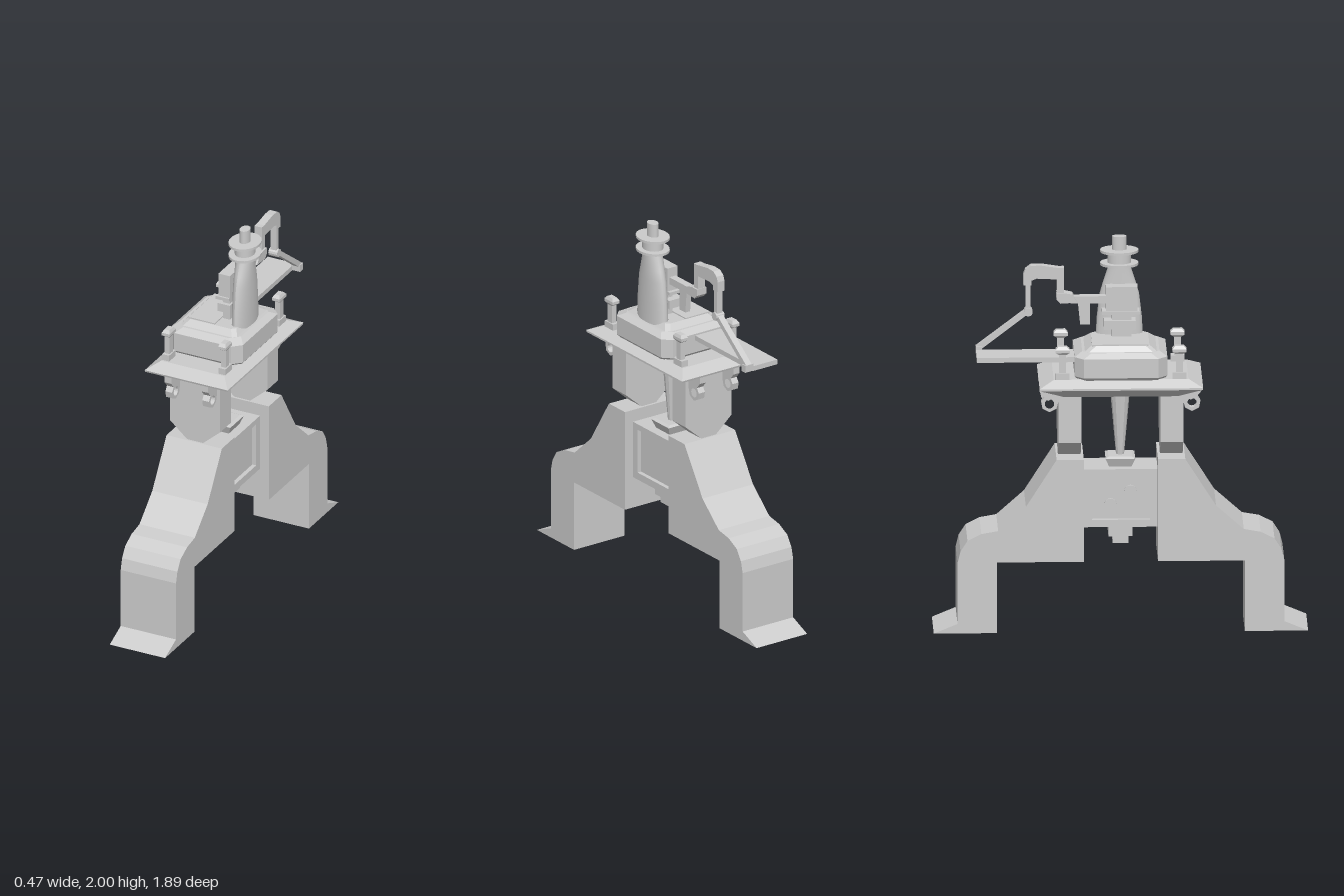
import * as THREE from 'three';

const flat = new THREE.MeshStandardMaterial({ color: 0xcccccc, flatShading: true });
const smooth = new THREE.MeshStandardMaterial({ color: 0xcccccc });

export function createModel() {
  const model = new THREE.Group();

  const add = (name, geo, x = 0, y = 0, z = 0, mat = flat) => {
    const m = new THREE.Mesh(geo, mat);
    m.name = name;
    m.position.set(x, y, z);
    model.add(m);
    return m;
  };
  // box given by its limits
  const box = (name, x0, x1, y0, y1, z0, z1) =>
    add(name, new THREE.BoxGeometry(x1 - x0, y1 - y0, z1 - z0), (x0 + x1) / 2, (y0 + y1) / 2, (z0 + z1) / 2);
  const shapeOf = pts => new THREE.Shape(pts.map(p => new THREE.Vector2(p[0], p[1])));
  // (z, y) profile extruded along x, centred on x
  const side = (name, shape, width, x = 0) => {
    const g = new THREE.ExtrudeGeometry(shape, { depth: width, bevelEnabled: false, curveSegments: 8 });
    g.translate(0, 0, -width / 2).rotateY(-Math.PI / 2);
    return add(name, g, x);
  };
  // stacked rectangular sections [y, halfX, halfZ] with cut corners
  const loft = (name, rows, cut = 0, x = 0, z = 0) => {
    const pos = [], idx = [];
    for (const [y, a, b] of rows) {
      const ring = cut
        ? [[a, b - cut], [a, cut - b], [a - cut, -b], [cut - a, -b], [-a, cut - b], [-a, b - cut], [cut - a, b], [a - cut, b]]
        : [[a, b], [a, -b], [-a, -b], [-a, b]];
      ring.forEach(p => pos.push(p[0], y, p[1]));
    }
    const n = cut ? 8 : 4, top = (rows.length - 1) * n;
    for (let r = 0; r < top; r += n)
      for (let i = 0; i < n; i++) {
        const j = (i + 1) % n;
        idx.push(r + i, r + j, r + n + j, r + i, r + n + j, r + n + i);
      }
    for (let i = 1; i < n - 1; i++) idx.push(0, i + 1, i, top, top + i, top + i + 1);
    const g = new THREE.BufferGeometry();
    g.setAttribute('position', new THREE.Float32BufferAttribute(pos, 3));
    g.setIndex(idx);
    g.computeVertexNormals();
    return add(name, g, x, 0, z);
  };

  // legs, posts and lifting lugs, front and back
  const legPts = [[0.945, 0], [0.825, 0.05], [0.825, 0.37], [0.81, 0.43], [0.775, 0.485], [0.705, 0.52],
    [0.62, 0.535], [0.48, 0.66], [0.325, 0.905], [0.187, 0.905], [0.187, 0.37], [0.625, 0.37], [0.625, 0]];
  const postPts = [[-0.143, 1.26], [-0.143, 0.99], [-0.04, 0.9], [0.04, 0.9], [0.143, 0.99], [0.143, 1.26]];
  const lugPts = [[0.28, 1.27], [0.28, 1.24], [0.315, 1.2], [0.325, 1.165], [0.36, 1.147], [0.395, 1.165],
    [0.402, 1.2], [0.385, 1.225], [0.41, 1.255], [0.41, 1.29]];
  for (const s of [1, -1]) {
    const flip = pts => pts.map(([z, y]) => [z * s, y]);
    side(s > 0 ? 'frontLeg' : 'backLeg', shapeOf(flip(legPts)), 0.315);
    add('post', new THREE.ExtrudeGeometry(shapeOf(postPts), { depth: 0.115, bevelEnabled: false }),
      0, 0, s > 0 ? 0.2 : -0.315);
    for (const x of [-0.105, 0.105]) {
      const lug = shapeOf(flip(lugPts));
      lug.holes.push(new THREE.Path().absarc(0.36 * s, 1.19, 0.024, 0, Math.PI * 2, true));
      side('liftingLug', lug, 0.038, x);
    }
    // mooring posts on the deck corners
    for (const x of [-0.16, 0.16]) {
      const z = s * 0.295;
      box('bollardBase', x - 0.02, x + 0.02, 1.325, 1.365, z - 0.035, z + 0.035);
      box('bollardPost', x - 0.014, x + 0.014, 1.36, 1.475, z - 0.018, z + 0.018);
      loft('bollardCap', [[1.46, 0.014, 0.018], [1.472, 0.022, 0.036], [1.487, 0.022, 0.036], [1.502, 0.014, 0.022]], 0, x, z);
    }
  }

  // machine box between the legs, with framed side panels
  box('machineBox', -0.085, 0.085, 0.537, 0.84, -0.19, 0.19);
  for (const x of [-0.095, 0.095]) {
    const frame = shapeOf([[-0.187, 0.537], [0.187, 0.537], [0.187, 0.84], [-0.187, 0.84]]);
    frame.holes.push(new THREE.Path([[-0.145, 0.575], [-0.145, 0.81], [0.148, 0.81], [0.148, 0.575]]
      .map(p => new THREE.Vector2(...p))));
    side('panelFrame', frame, 0.025, x);
  }
  for (const [y, z] of [[0.65, -0.05], [0.72, 0.05]])
    add('panelDial', new THREE.CylinderGeometry(0.032, 0.032, 0.012, 16).rotateZ(Math.PI / 2), -0.09, y, z);
  loft('boxTopSocket', [[0.835, 0.055, 0.055], [0.885, 0.075, 0.075], [0.893, 0.06, 0.06]]);
  box('drainBlock', -0.06, 0.06, 0.475, 0.54, -0.06, 0.062);
  box('drainOutlet', -0.04, 0.04, 0.433, 0.48, -0.038, 0.042);

  // tapered shaft under the deck
  loft('shaftCollar', [[1.215, 0.06, 0.06], [1.225, 0.1, 0.1], [1.245, 0.1, 0.1]]);
  add('shaft', new THREE.CylinderGeometry(0.05, 0.02, 0.34, 12), 0, 1.055, 0);

  // deck and cabin
  loft('deck', [[1.233, 0.152, 0.285], [1.288, 0.236, 0.41], [1.298, 0.236, 0.413], [1.332, 0.18, 0.34]]);
  loft('cabin', [[1.33, 0.195, 0.222], [1.345, 0.207, 0.234], [1.445, 0.207, 0.234], [1.468, 0.175, 0.195]], 0.045);
  loft('cabinRoof', [[1.462, 0.165, 0.19], [1.494, 0.135, 0.145]], 0.02);
  box('roofHatch', -0.13, 0.02, 1.48, 1.5, -0.145, 0.14);

  // long gangplank to the rear
  box('gangplank', -0.13, 0.025, 1.41, 1.436, -0.727, -0.2);
  box('plankBracket', 0.02, 0.07, 1.412, 1.45, -0.727, -0.695);

  // funnel: same thickness all the way, narrowing only front to back
  const funnelZ = [[1.463, 0.12], [1.58, 0.114], [1.7, 0.1], [1.76, 0.083], [1.84, 0.057], [1.87, 0.055]];
  const funnelGeo = new THREE.CylinderGeometry(1, 1, 1, 24, funnelZ.length - 1);
  const p = funnelGeo.attributes.position;
  for (let i = 0; i < p.count; i++) {
    const [y, rz] = funnelZ[Math.round((p.getY(i) + 0.5) * (funnelZ.length - 1))];
    p.setXYZ(i, p.getX(i) * 0.045, y, p.getZ(i) * rz);
  }
  funnelGeo.computeVertexNormals();
  add('funnel', funnelGeo, 0.12, 0, 0, smooth);
  // oval discs and pipe at the funnel top
  const oval = (name, rx, rz, y0, y1) =>
    add(name, new THREE.CylinderGeometry(1, 1, 1, 24).scale(rx, y1 - y0, rz), 0.12, (y0 + y1) / 2, 0, smooth);
  oval('lowerFlange', 0.08, 0.097, 1.85, 1.863);
  oval('spool', 0.05, 0.06, 1.86, 1.92);
  oval('upperFlange', 0.08, 0.097, 1.917, 1.93);
  oval('topPipe', 0.026, 0.036, 1.925, 2);

  // gearbox beside the funnel
  box('gearbox', 0.015, 0.08, 1.635, 1.76, -0.07, 0.09);
  box('gearboxPlate', 0.005, 0.08, 1.618, 1.635, -0.09, 0.1);
  box('gearboxStem', 0.025, 0.065, 1.49, 1.62, -0.04, 0.06);
  box('gearboxFoot', 0.005, 0.075, 1.54, 1.585, -0.08, 0.08);

  // jointed crane arm
  const armX = 0.047;
  box('armBeam', 0.027, 0.067, 1.672, 1.71, -0.25, -0.06);
  side('armBracket', shapeOf([[-0.15, 1.68], [-0.15, 1.56], [-0.2, 1.56], [-0.212, 1.68]]), 0.03, armX);
  side('armElbow', shapeOf([[-0.215, 1.68], [-0.24, 1.722], [-0.28, 1.73], [-0.32, 1.73], [-0.32, 1.695], [-0.3, 1.675]]), 0.06, armX);
  side('armHook', shapeOf([[-0.282, 1.72], [-0.282, 1.86], [-0.31, 1.86], [-0.4, 1.874], [-0.45, 1.872], [-0.477, 1.852], [-0.487, 1.825],
    [-0.487, 1.77], [-0.445, 1.77], [-0.445, 1.795], [-0.42, 1.805], [-0.318, 1.8], [-0.318, 1.72]]), 0.042, armX);
  box('armDropLink', armX - 0.016, armX + 0.016, 1.62, 1.78, -0.475, -0.45);
  add('armJoint', new THREE.CylinderGeometry(0.022, 0.022, 0.05, 12).rotateZ(Math.PI / 2), armX, 1.63, -0.462);
  side('armBrace', shapeOf([[-0.455, 1.625], [-0.475, 1.642], [-0.727, 1.45], [-0.715, 1.425]]), 0.034, armX);

  return model;
}
